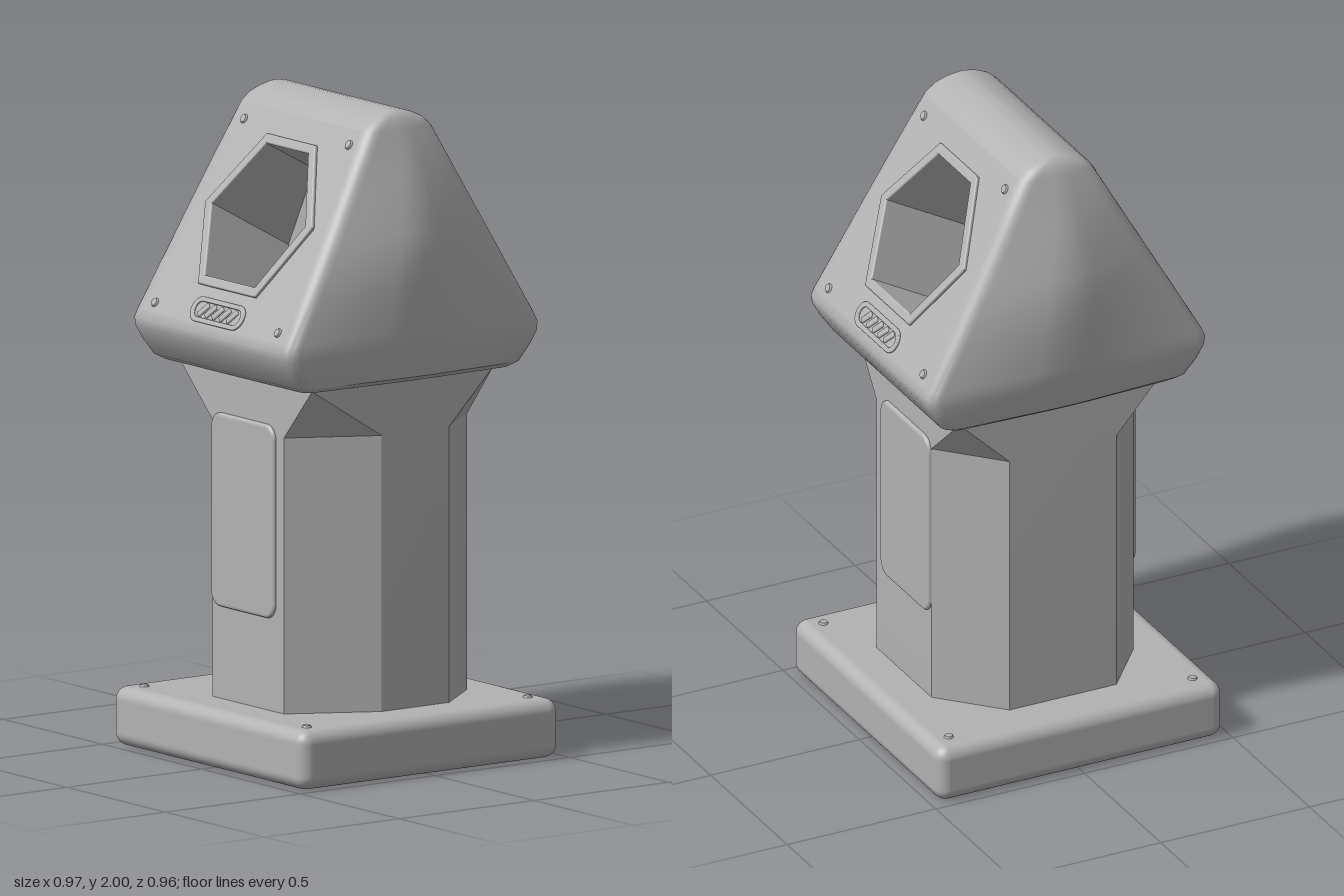
import * as THREE from 'three';
import { toCreasedNormals } from 'three/addons/utils/BufferGeometryUtils.js';
import { RoundedBoxGeometry } from 'three/addons/geometries/RoundedBoxGeometry.js';

const grey = new THREE.MeshStandardMaterial({ color: 0xb2b2b2 });
grey.name = 'stone grey';
grey.side = THREE.DoubleSide;

function add(parent, name, geometry, x = 0, y = 0, z = 0) {
  const mesh = new THREE.Mesh(geometry, grey);
  mesh.name = name;
  mesh.position.set(x, y, z);
  parent.add(mesh);
  return mesh;
}

// Joins horizontal rings of points; skip(level, i) leaves a quad open
function loft(rings, crease, skip = () => false) {
  const out = [];
  const n = rings[0].length;
  const tri = (...pts) => pts.forEach((p) => out.push(p.x, p.y, p.z));
  for (let k = 0; k < rings.length - 1; k++) {
    for (let i = 0; i < n; i++) {
      if (skip(k, i)) continue;
      const j = (i + 1) % n, lo = rings[k], hi = rings[k + 1];
      tri(lo[i], lo[j], hi[j]);
      tri(lo[i], hi[j], hi[i]);
    }
  }
  const bottom = rings[0], top = rings[rings.length - 1];
  const cb = new THREE.Vector3(0, bottom[0].y, 0), ct = new THREE.Vector3(0, top[0].y, 0);
  for (let i = 0; i < n; i++) {
    const j = (i + 1) % n;
    tri(cb, bottom[j], bottom[i]);
    tri(ct, top[i], top[j]);
  }
  const g = new THREE.BufferGeometry();
  g.setAttribute('position', new THREE.Float32BufferAttribute(out, 3));
  return toCreasedNormals(g, crease);
}

function roundRect(w, h, r, Type = THREE.Shape) {
  const s = new Type(), a = w / 2, b = h / 2;
  s.absarc(a - r, b - r, r, 0, Math.PI / 2);
  s.absarc(-a + r, b - r, r, Math.PI / 2, Math.PI);
  s.absarc(-a + r, -b + r, r, Math.PI, Math.PI * 1.5);
  s.absarc(a - r, -b + r, r, Math.PI * 1.5, Math.PI * 2);
  s.closePath();
  return s;
}

const bevelled = (shape, depth, bevel) => new THREE.ExtrudeGeometry(shape, {
  depth, bevelEnabled: true, bevelThickness: bevel, bevelSize: bevel,
  bevelOffset: -bevel, bevelSegments: 3, curveSegments: 8,
});

// Hexagonal opening, in the plane of the sloping face
const hexagon = (k = 0) => [
  [0.105 + k * 0.6, 0.218 + k], [-0.105 - k * 0.6, 0.218 + k], [-0.235 - k * 1.2, 0],
  [-0.125 - k * 0.6, -0.218 - k], [0.125 + k * 0.6, -0.218 - k], [0.235 + k * 1.2, 0],
].map(([x, y]) => new THREE.Vector2(x, y));

// Sloping face of the head: plane through (y 1.66, z 0.28)
const TILT = 0.509, SIN = Math.sin(TILT), COS = Math.cos(TILT), FACE_Y = 1.66, FACE_Z = 0.28;
const slopeZ = (y) => FACE_Z - (y - FACE_Y) * SIN / COS;
const LOW = 1.34, HIGH = 1.945, ROUND = 0.04;
const edgeX = (y) => 0.4 - (y - LOW) * 0.065 / (HIGH - LOW);

function headRing([y, z, xe, xm]) {
  const r = Math.min(ROUND, z * 0.45);
  const corner = new THREE.Vector2(xe, z), side = new THREE.Vector2(xm, 0);
  const along = (t) => corner.clone().lerp(side, t);
  const front = [
    ...new THREE.QuadraticBezierCurve(new THREE.Vector2(xe - r, z), corner, along(r / z)).getPoints(6),
    ...new THREE.QuadraticBezierCurve(along(0.75), side, new THREE.Vector2(along(0.75).x, -along(0.75).y))
      .getPoints(6).slice(0, 4),
  ];
  const right = [...front, ...front.slice(0, -1).reverse().map((p) => new THREE.Vector2(p.x, -p.y))];
  const left = right.slice().reverse().map((p) => new THREE.Vector2(-p.x, p.y));
  return [...right, ...left].map((p) => new THREE.Vector3(p.x, y, p.y));
}

function headShell() {
  const sloped = (y, xm) => [y, slopeZ(y), edgeX(y), xm];
  const levels = [ // height, half depth, half width at corner, half width at middle
    [1.18, 0.36, 0.345, 0.36], [1.185, 0.385, 0.37, 0.385], [1.2, 0.41, 0.387, 0.407],
    [1.25, 0.443, 0.4, 0.42], [1.29, 0.465, 0.404, 0.428], [1.315, 0.469, 0.403, 0.434],
    sloped(LOW, 0.438), sloped(1.48, 0.45), sloped(1.56, 0.454), sloped(1.65, 0.447),
    sloped(1.8, 0.4), sloped(HIGH, 0.346),
    [1.97, 0.095, 0.328, 0.336], [1.986, 0.06, 0.318, 0.324], [1.997, 0.025, 0.305, 0.309], [2, 0.004, 0.295, 0.297],
  ];
  const rings = levels.map(headRing), n = rings[0].length;
  const open = (k, i) => levels[k][0] >= LOW && levels[k][0] < HIGH && (i === n - 1 || i === n / 2 - 1);
  return loft(rings, 0.6, open);
}

// Walls of the opening run straight in and stop at the middle of the head
function recess() {
  const pts = hexagon(), out = [];
  const inner = pts.map((p) => new THREE.Vector3(p.x, p.y, -(FACE_Z - p.y * SIN - 0.004) / COS));
  const outer = pts.map((p) => new THREE.Vector3(p.x, p.y, 0));
  const tri = (...v) => v.forEach((p) => out.push(p.x, p.y, p.z));
  for (let i = 0; i < 6; i++) {
    const j = (i + 1) % 6;
    tri(outer[i], inner[j], outer[j]);
    tri(outer[i], inner[i], inner[j]);
    if (i > 0 && i < 5) tri(inner[0], inner[i], inner[j]);
  }
  const g = new THREE.BufferGeometry();
  g.setAttribute('position', new THREE.Float32BufferAttribute(out, 3));
  g.computeVertexNormals();
  return g;
}

function screw(parent, x, y, z, flat) {
  const m = add(parent, 'screw', new THREE.CylinderGeometry(0.012, 0.016, 0.008, 12), x, y, z);
  if (flat) m.rotation.x = Math.PI / 2;
}

function slopingFace() {
  const face = new THREE.Group();
  face.name = 'slopingFace';
  const v = (y) => (y - FACE_Y) / COS;
  const a = edgeX(LOW) - ROUND, b = edgeX(HIGH) - ROUND;
  const plate = new THREE.Shape([[-a, v(LOW)], [a, v(LOW)], [b, v(HIGH)], [-b, v(HIGH)]]
    .map(([x, y]) => new THREE.Vector2(x, y)));
  plate.holes.push(new THREE.Path(hexagon()));
  add(face, 'facePlate', new THREE.ShapeGeometry(plate));
  add(face, 'openingWalls', recess());

  // Raised frame round the opening
  const frame = new THREE.Shape(hexagon(0.03));
  frame.holes.push(new THREE.Path(hexagon()));
  add(face, 'openingFrame', bevelled(frame, 0.005, 0.005));

  // Small vent with slanted ribs
  const vent = roundRect(0.26, 0.08, 0.038);
  vent.holes.push(roundRect(0.225, 0.05, 0.024, THREE.Path));
  add(face, 'ventFrame', bevelled(vent, 0.003, 0.003), 0, -0.322, 0);
  for (let i = -2; i <= 2; i++) {
    const rib = add(face, 'ventRib', new RoundedBoxGeometry(0.02, 0.05, 0.012, 2, 0.005), i * 0.036, -0.322, 0);
    rib.rotation.z = -0.7;
  }
  for (const s of [-1, 1]) {
    screw(face, s * 0.265, 0.275, 0.002, true);
    screw(face, s * 0.31, -0.335, 0.002, true);
  }
  face.position.set(0, FACE_Y, FACE_Z);
  face.rotation.x = -TILT;
  return face;
}

// Eight-sided column whose corners flare out to a square under the head
function column() {
  const plan = [[0.2, 0.34], [0.34, 0.08], [0.34, -0.17], [0.2, -0.34],
    [-0.16, -0.34], [-0.34, -0.17], [-0.34, 0.19], [-0.16, 0.34]];
  const ring = (y, t) => plan.map(([x, z]) => {
    const mix = (c) => c + (Math.sign(c) * 0.335 - c) * t;
    return new THREE.Vector3(mix(x), y, mix(z));
  });
  return loft([ring(0.17, 0), ring(1.02, 0), ring(1.18, 1), ring(1.19, 1)], 0.3);
}

export function createModel() {
  const model = new THREE.Group();
  model.name = 'pedestal';
  add(model, 'base', new RoundedBoxGeometry(0.97, 0.18, 0.96, 5, 0.04), 0, 0.09, 0);
  for (const x of [-0.41, 0.41]) for (const z of [-0.41, 0.41]) screw(model, x, 0.182, z, false);
  add(model, 'column', column());
  add(model, 'headShell', headShell());

  // Front and back carry the same panel and opening
  for (const turn of [0, Math.PI]) {
    const half = new THREE.Group();
    half.name = turn ? 'backSide' : 'frontSide';
    half.rotation.y = turn;
    add(half, 'columnPanel', bevelled(roundRect(0.32, 0.59, 0.045), 0.012, 0.01), 0, 0.755, 0.328);
    half.add(slopingFace());
    model.add(half);
  }
  return model;
}
